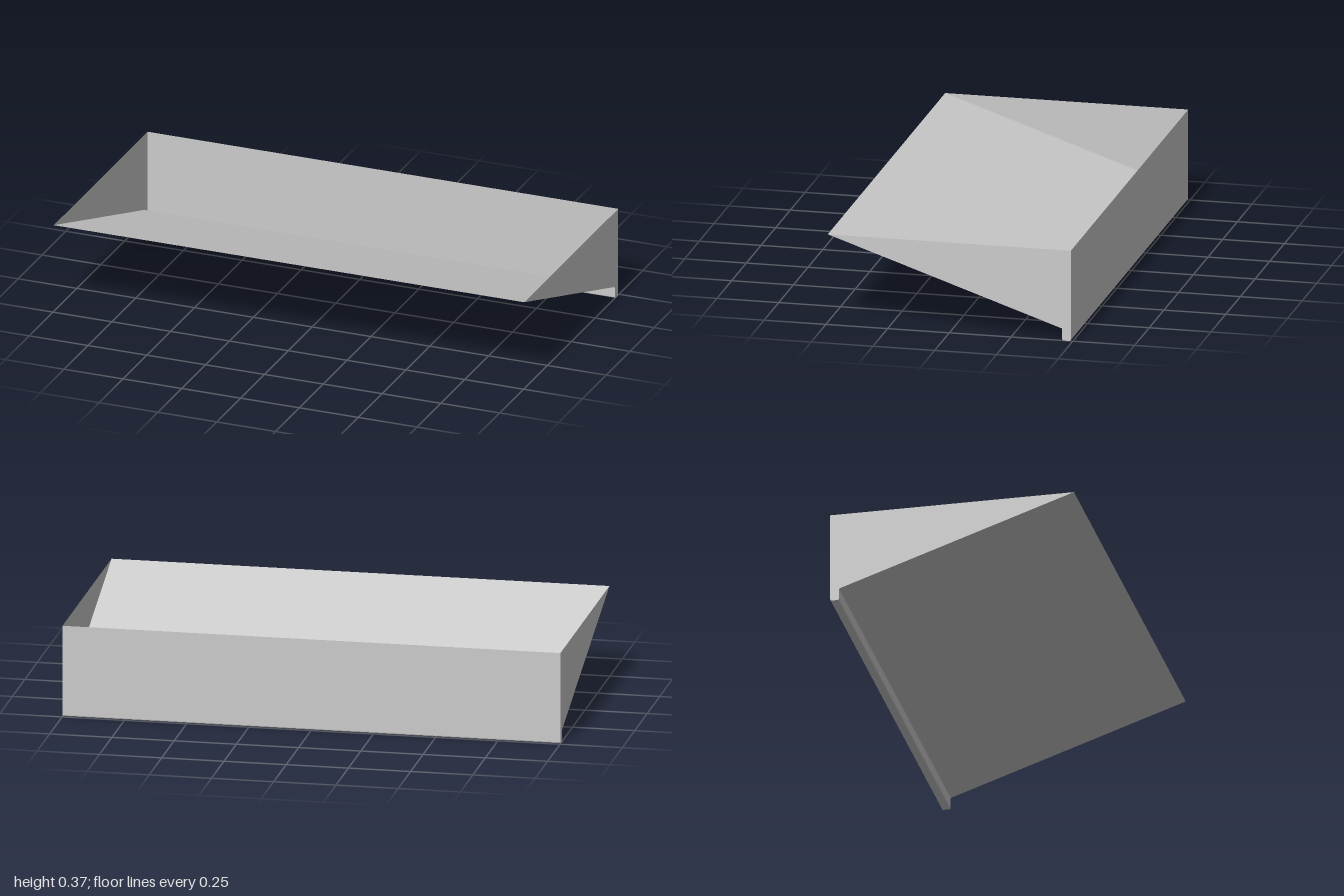
import * as THREE from 'three';

const W = 2, TOP = 0.371, FRONT = 0.492, BACK = -0.492, LIP = -0.457;
const R = 0.006; // small bend radius on the lip

const material = new THREE.MeshStandardMaterial({ color: 0xcccccc, side: THREE.DoubleSide });

// Thin sheet: a [z, y] profile swept straight across the width
function sheet(name, profile) {
  const pos = [];
  for (let i = 0; i < profile.length - 1; i++) {
    const [z0, y0] = profile[i], [z1, y1] = profile[i + 1];
    const a = [-W / 2, y0, z0], b = [W / 2, y0, z0];
    const c = [W / 2, y1, z1], d = [-W / 2, y1, z1];
    pos.push(...a, ...d, ...c, ...a, ...c, ...b);
  }
  const geo = new THREE.BufferGeometry();
  geo.setAttribute('position', new THREE.Float32BufferAttribute(pos, 3));
  geo.computeVertexNormals();
  const mesh = new THREE.Mesh(geo, material);
  mesh.name = name;
  return mesh;
}

// Points of a rounded bend around (z, y) between two angles
function bend(z, y, from, to, steps = 4) {
  return Array.from({ length: steps + 1 }, (_, i) => {
    const t = from + (to - from) * i / steps;
    return [z + R * Math.cos(t), y + R * Math.sin(t)];
  });
}

export function createModel() {
  const group = new THREE.Group();

  // Profile from the front edge, down the floor, around the lip, up the back
  const floor = [[FRONT, TOP], [LIP + 0.003, 0.05]];
  const lip = [
    floor[1], [LIP, 0.047], [LIP, R],
    ...bend(LIP - R, R, 0, -Math.PI / 2),
    ...bend(BACK + R, R, -Math.PI / 2, -Math.PI),
  ];
  const back = [[BACK, R], [BACK, TOP]];

  group.add(sheet('slopedFloor', floor), sheet('hookLip', lip), sheet('backWall', back));

  // End panels closing the profile on both sides
  const outline = [...floor, ...lip.slice(1), back[1]];
  const shape = new THREE.Shape(outline.map(([z, y]) => new THREE.Vector2(z, y)));
  for (const side of [-1, 1]) {
    const geo = new THREE.ShapeGeometry(shape).rotateY(-Math.PI / 2);
    const panel = new THREE.Mesh(geo, material);
    panel.position.x = side * W / 2;
    panel.name = side > 0 ? 'leftEndPanel' : 'rightEndPanel';
    group.add(panel);
  }
  return group;
}
